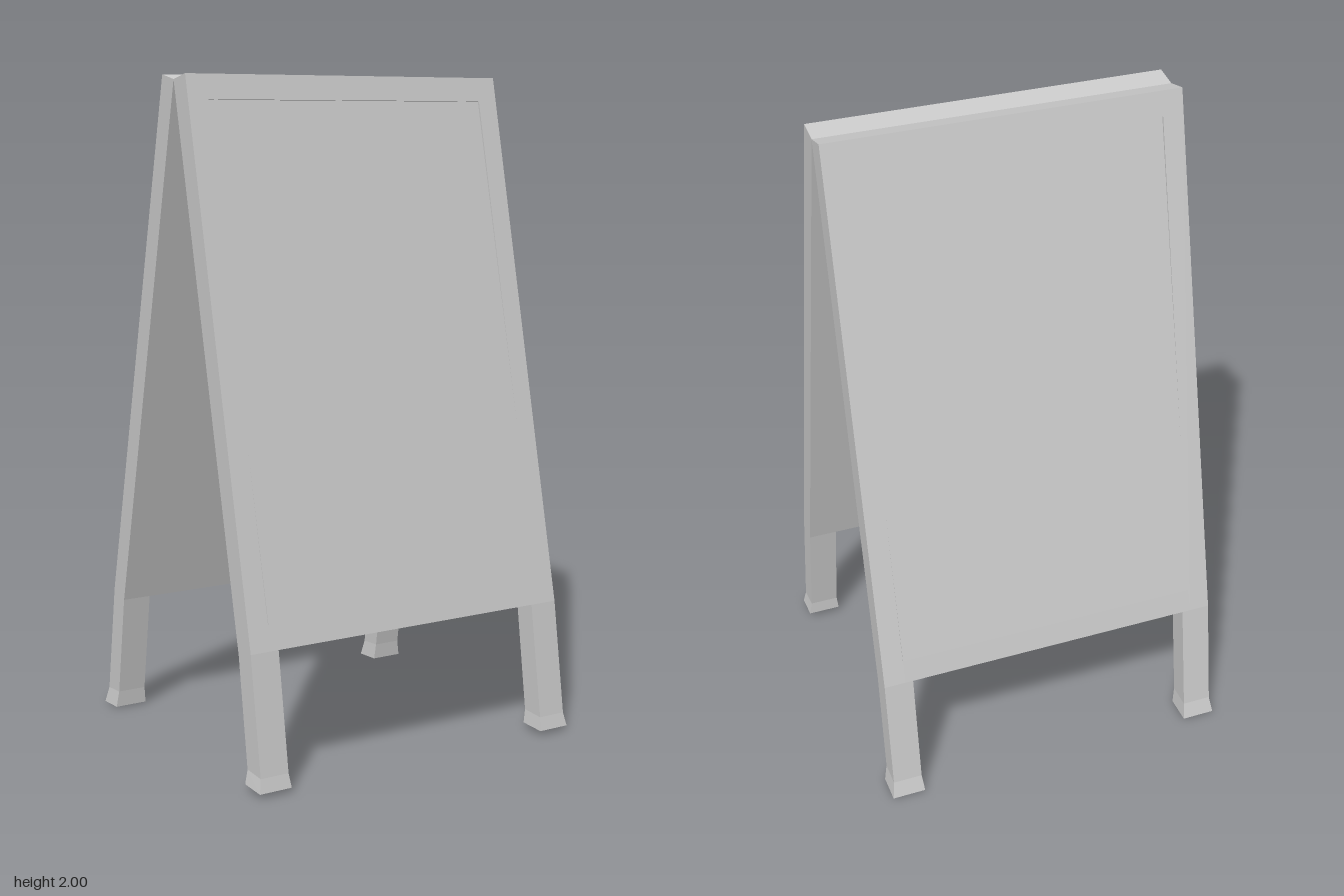
import * as THREE from 'three';

const material = new THREE.MeshStandardMaterial({ color: 0xcccccc, flatShading: true, side: THREE.DoubleSide });

// Solid through a list of four-cornered cross-sections, capped at both ends
function loft(name, rings) {
  const pos = [];
  const quad = (a, b, c, d) => [a, b, c, a, c, d].forEach((p) => pos.push(p.x, p.y, p.z));
  for (let i = 0; i < rings.length - 1; i++) {
    for (let k = 0; k < 4; k++) {
      const n = (k + 1) % 4;
      quad(rings[i][k], rings[i + 1][k], rings[i + 1][n], rings[i][n]);
    }
  }
  const last = rings[rings.length - 1];
  quad(...rings[0]);
  quad(last[3], last[2], last[1], last[0]);
  const geometry = new THREE.BufferGeometry();
  geometry.setAttribute('position', new THREE.Float32BufferAttribute(pos, 3));
  geometry.computeVertexNormals();
  const mesh = new THREE.Mesh(geometry, material);
  mesh.name = name;
  return mesh;
}

// Cross-section from two x limits and an inner and outer [z, y] point;
// corners run so that faces point outward for either leaf
function ring(x0, x1, inner, outer) {
  const v = (x, p) => new THREE.Vector3(x, p[1], p[0]);
  const r = [v(x0, inner), v(x1, inner), v(x1, outer), v(x0, outer)];
  return outer[0] > inner[0] ? r.reverse().map((p) => p) && r : r.reverse();
}

// One leaf of the stand; each profile station is [inner, outer] in [z, y]
function makeLeaf(name, { top, bottom, ankle, sole }) {
  const leaf = new THREE.Group();
  leaf.name = name;

  // Point on the board: t runs down the slope, d from inner to outer face
  const at = (t, d) => [0, 1].map((i) => {
    const inner = THREE.MathUtils.lerp(top[0][i], bottom[0][i], t);
    const outer = THREE.MathUtils.lerp(top[1][i], bottom[1][i], t);
    return THREE.MathUtils.lerp(inner, outer, d);
  });
  const slab = (part, x0, x1, t0, t1, d0 = 1, d1 = 1) => leaf.add(loft(part, [
    ring(x0, x1, at(t0, 0), at(t0, d0)),
    ring(x0, x1, at(t1, 0), at(t1, d1)),
  ]));

  // Frame rails and the slightly tilted inset panel
  slab('topRail', -0.475, 0.475, 0, 0.045);
  slab('bottomRail', -0.475, 0.475, 0.955, 1);
  slab('panel', -0.475, 0.475, 0.045, 0.955, 0.92, 1.04);

  // Stiles, legs and flared feet
  for (const s of [-1, 1]) {
    const span = (a, b) => (s > 0 ? [a, b] : [-b, -a]);
    const side = s > 0 ? 'left' : 'right';
    slab(side + 'Stile', ...span(0.475, 0.54), 0, 1);
    const shin = span(0.45, 0.54);
    leaf.add(loft(side + 'Leg', [ring(...shin, ...bottom), ring(...shin, ...ankle)]));
    leaf.add(loft(side + 'Foot', [
      ring(...shin, ...ankle),
      ring(...span(0.445, 0.548), ...sole),
    ]));
  }
  return leaf;
}

export function createModel() {
  const model = new THREE.Group();
  model.name = 'sandwichBoard';
  model.add(makeLeaf('frontLeaf', {
    top: [[0.023, 1.985], [0.094, 2.0]],
    bottom: [[0.377, 0.38], [0.446, 0.4]],
    ankle: [[0.423, 0.06], [0.498, 0.055]],
    sole: [[0.423, 0.018], [0.507, 0.014]],
  }));
  model.add(makeLeaf('backLeaf', {
    top: [[0.023, 1.985], [-0.048, 2.0]],
    bottom: [[-0.369, 0.37], [-0.438, 0.392]],
    ankle: [[-0.418, 0.055], [-0.492, 0.05]],
    sole: [[-0.422, 0.004], [-0.508, 0]],
  }));
  return model;
}
